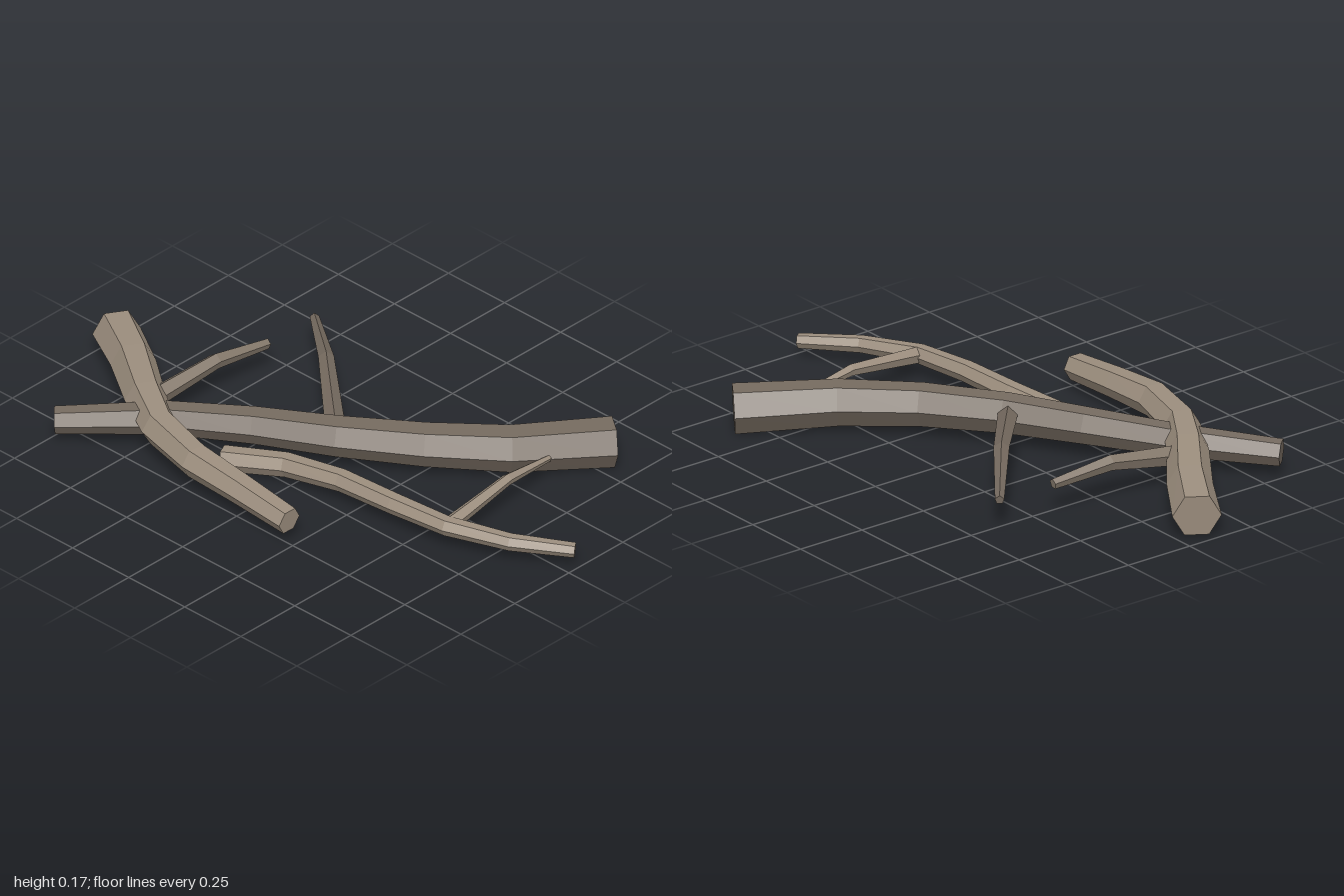
import * as THREE from 'three';

// Tapered faceted limb; each path point is [x, y, z, radius]
function limb(name, path, sides, turn, material) {
  const pts = path.map(p => new THREE.Vector3(p[0], p[1], p[2]));
  const pos = [], index = [], last = pts.length - 1;
  const yAxis = new THREE.Vector3(0, 1, 0);
  pts.forEach((p, i) => {
    const ahead = pts[Math.min(i + 1, last)].clone().sub(p).normalize();
    const behind = p.clone().sub(pts[Math.max(i - 1, 0)]).normalize();
    const dir = ahead.add(behind).normalize();
    const side = dir.clone().cross(yAxis).normalize();
    const up = side.clone().cross(dir);
    for (let j = 0; j < sides; j++) {
      const a = turn + j / sides * Math.PI * 2;
      const v = p.clone().addScaledVector(side, Math.cos(a) * path[i][3])
        .addScaledVector(up, Math.sin(a) * path[i][3]);
      pos.push(v.x, v.y, v.z);
    }
  });
  // Side walls
  for (let i = 0; i < last; i++) {
    for (let j = 0; j < sides; j++) {
      const k = (j + 1) % sides;
      const a = i * sides + j, b = i * sides + k, c = a + sides, d = b + sides;
      index.push(a, c, b, b, c, d);
    }
  }
  // Cut ends
  const e = last * sides;
  for (let j = 1; j < sides - 1; j++) index.push(0, j, j + 1, e, e + j + 1, e + j);
  const geo = new THREE.BufferGeometry();
  geo.setAttribute('position', new THREE.Float32BufferAttribute(pos, 3));
  geo.setIndex(index);
  const flat = geo.toNonIndexed();
  flat.computeVertexNormals();
  const mesh = new THREE.Mesh(flat, material);
  mesh.name = name;
  return mesh;
}

export function createModel() {
  const wood = (name, color) => {
    const m = new THREE.MeshStandardMaterial({ color, flatShading: true });
    m.name = name;
    return m;
  };
  const dark = wood('dark wood', 0x766b60);
  const mid = wood('medium wood', 0x83776a);
  const light = wood('pale wood', 0x9c8e7e);

  const group = new THREE.Group();
  group.name = 'branchPile';
  const top = Math.PI / 2; // puts a corner on top of five-sided twigs

  group.add(
    // Thick dark branch and its side twig
    limb('darkBranch', [
      [0.645, 0.073, -0.575, 0.083], [0.45, 0.088, -0.30, 0.077], [0.25, 0.1, -0.115, 0.072],
      [0.02, 0.105, 0.05, 0.067], [-0.22, 0.105, 0.19, 0.061], [-0.46, 0.098, 0.345, 0.055],
      [-0.73, 0.08, 0.585, 0.045]], 6, 0, dark),
    limb('darkBranchTwig', [
      [0.02, 0.11, 0.06, 0.036], [-0.28, 0.148, -0.205, 0.027], [-0.52, 0.105, -0.4, 0.016]], 5, top, dark),

    // Pale curved branch and its side twig
    limb('paleBranch', [
      [-0.955, 0.075, 0.065, 0.08], [-0.77, 0.093, 0.18, 0.075], [-0.58, 0.107, 0.32, 0.069],
      [-0.42, 0.112, 0.42, 0.063], [-0.2, 0.113, 0.48, 0.058], [0, 0.1, 0.485, 0.052],
      [0.225, 0.08, 0.49, 0.046]], 6, 0, light),
    limb('paleBranchTwig', [
      [-0.575, 0.095, 0.31, 0.036], [-0.545, 0.13, 0.03, 0.027], [-0.523, 0.105, -0.185, 0.018]], 5, top, mid),

    // Slender pale branch and its side twig
    limb('slenderBranch', [
      [-0.225, 0.041, 0.328, 0.043], [-0.03, 0.062, 0.238, 0.041], [0.18, 0.079, 0.2, 0.038],
      [0.4, 0.083, 0.187, 0.036], [0.61, 0.08, 0.16, 0.033], [0.81, 0.069, 0.075, 0.029],
      [0.98, 0.056, -0.05, 0.025]], 6, 0, light),
    limb('slenderBranchTwig', [
      [0.61, 0.08, 0.15, 0.028], [0.592, 0.11, -0.14, 0.02], [0.574, 0.084, -0.35, 0.011]], 5, top, light),
  );
  return group;
}
